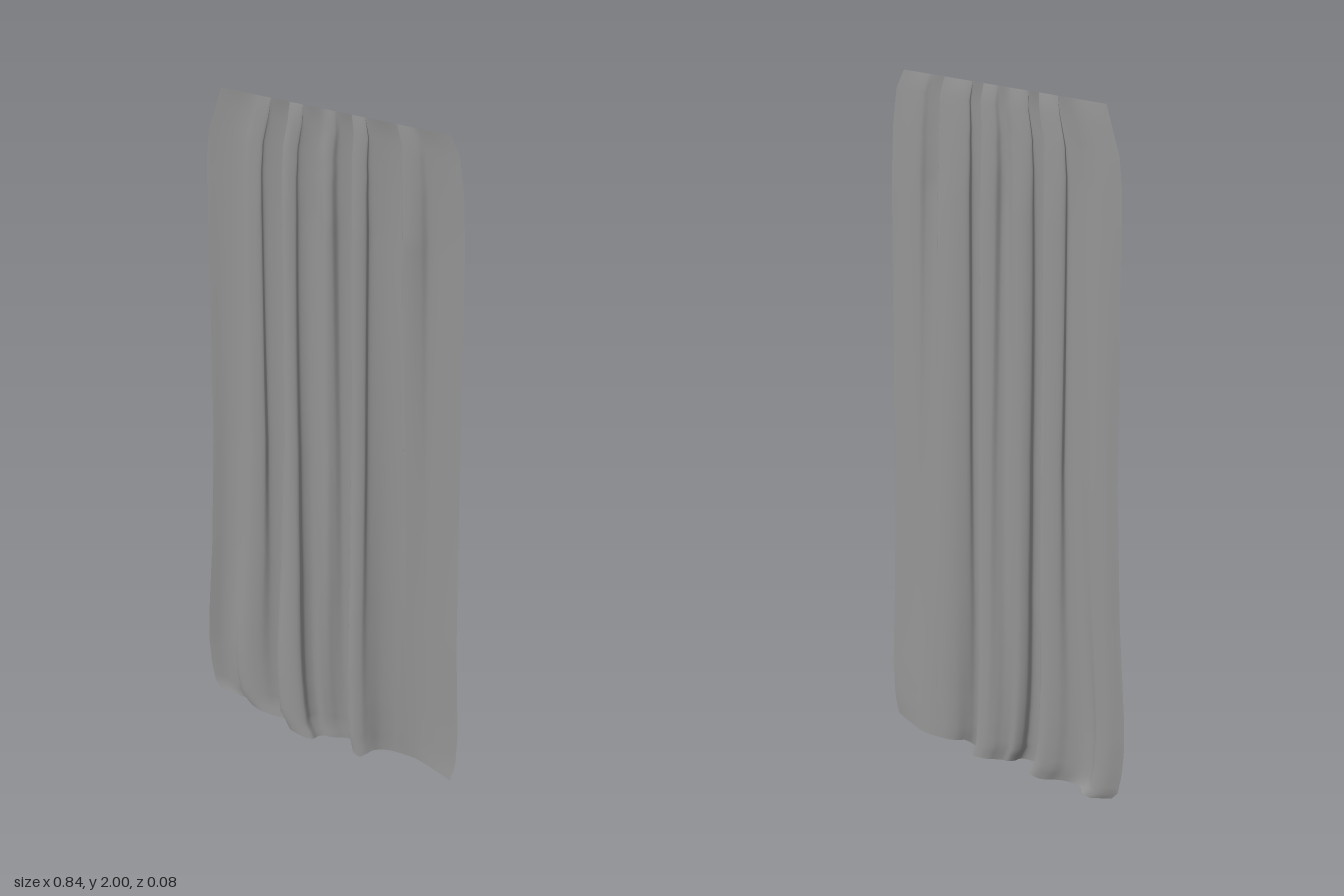
import * as THREE from 'three';

// Fold cross-sections as x, z pairs, matched point for point.
const HEM = [
  -.42, -.008, -.37, -.022, -.335, -.018, -.322, -.004, -.28, .007, -.23, .001, -.19, -.013,
  -.15, -.02, -.128, -.014, -.14, -.002, -.172, .008, -.155, .026, -.11, .038, -.065, .031,
  -.056, .012, -.04, -.002, -.02, -.006, 0, -.015, .02, -.026, .05, -.033, .08, -.028,
  .078, -.01, .068, .004, .085, .015, .115, .012, .135, 0, .16, -.02, .19, -.032,
  .22, -.037, .25, -.04, .28, -.04, .31, -.035, .35, -.025, .42, -.005,
];
const PLEATS = [
  -.37, -.004, -.33, -.007, -.29, -.006, -.26, -.001, -.235, .006, -.2, .005, -.201, -.006,
  -.165, -.014, -.135, -.01, -.136, -.001, -.138, .007, -.125, .014, -.108, .013, -.094, .007,
  -.095, -.002, -.075, -.011, -.04, -.01, -.012, .006, .007, .004, .02, -.01, .065, -.013,
  .068, -.004, .065, .006, .085, .011, .107, .005, .109, -.006, .145, -.014, .185, -.012,
  .215, -.004, .207, .004, .23, .006, .256, 0, .275, -.01, .375, -.004,
];

// Side outlines as [height, x] and hem outline as [x, height].
const LEFT = [[0, -.35], [.03, -.37], [.06, -.405], [.13, -.418], [.22, -.424], [.32, -.42], [.6, -.397],
  [1, -.377], [1.7, -.366], [1.8, -.363], [1.88, -.353], [2, -.31]];
const RIGHT = [[0, .4], [.03, .406], [.08, .418], [.2, .421], [.5, .405], [1, .392], [1.7, .378],
  [1.85, .37], [1.95, .355], [2, .33]];
const HEM_HEIGHT = [[-.42, .045], [-.37, .027], [-.32, .032], [-.25, .024], [-.18, .012], [-.13, .02],
  [-.05, .015], [.05, .01], [.1, 0], [.14, .025], [.3, .02], [.42, .02]];

function sample(table, t) {
  if (t <= table[0][0]) return table[0][1];
  for (let i = 1; i < table.length; i++) {
    const [a, b] = [table[i - 1], table[i]];
    if (t <= b[0]) return THREE.MathUtils.mapLinear(t, a[0], b[0], a[1], b[1]);
  }
  return table[table.length - 1][1];
}

function section(pairs) {
  const points = [];
  for (let i = 0; i < pairs.length; i += 2) points.push(new THREE.Vector3(pairs[i], 0, pairs[i + 1]));
  return new THREE.CatmullRomCurve3(points, false, 'centripetal');
}

function clothGeometry() {
  const { lerp, mapLinear } = THREE.MathUtils;
  const hem = section(HEM), pleats = section(PLEATS);
  const geometry = new THREE.PlaneGeometry(1, 1, 198, 80);
  const position = geometry.attributes.position;
  const a = new THREE.Vector3(), b = new THREE.Vector3();
  for (let i = 0; i < position.count; i++) {
    const u = position.getX(i) + 0.5, v = position.getY(i) + 0.5;
    hem.getPoint(u, a);
    pleats.getPoint(u, b);
    const low = sample(HEM_HEIGHT, a.x);
    const y = low + (2 - low) * v;
    // Pleats hang straight, deepen going down and flare sideways near the hem
    const down = Math.max(0, 1 - y / 1.7);
    const flare = down ** 2, deepen = down ** 0.85;
    // Fit the section between the side outlines
    const x = mapLinear(lerp(b.x, a.x, flare),
      lerp(PLEATS[0], HEM[0], flare), lerp(PLEATS.at(-2), HEM.at(-2), flare),
      sample(LEFT, y), sample(RIGHT, y));
    // Pleats flatten into a straight line at the top edge
    const flatten = Math.sqrt(Math.min(1, Math.max(0, (2 - y) / 0.3)));
    position.setXYZ(i, x, y, lerp(b.z, a.z, deepen) * flatten);
  }
  geometry.computeVertexNormals();
  return geometry;
}

export function createModel() {
  const group = new THREE.Group();
  group.name = 'curtain';
  const material = new THREE.MeshStandardMaterial({ color: 0x959595, side: THREE.DoubleSide });
  const cloth = new THREE.Mesh(clothGeometry(), material);
  cloth.name = 'curtainCloth';
  group.add(cloth);
  return group;
}
